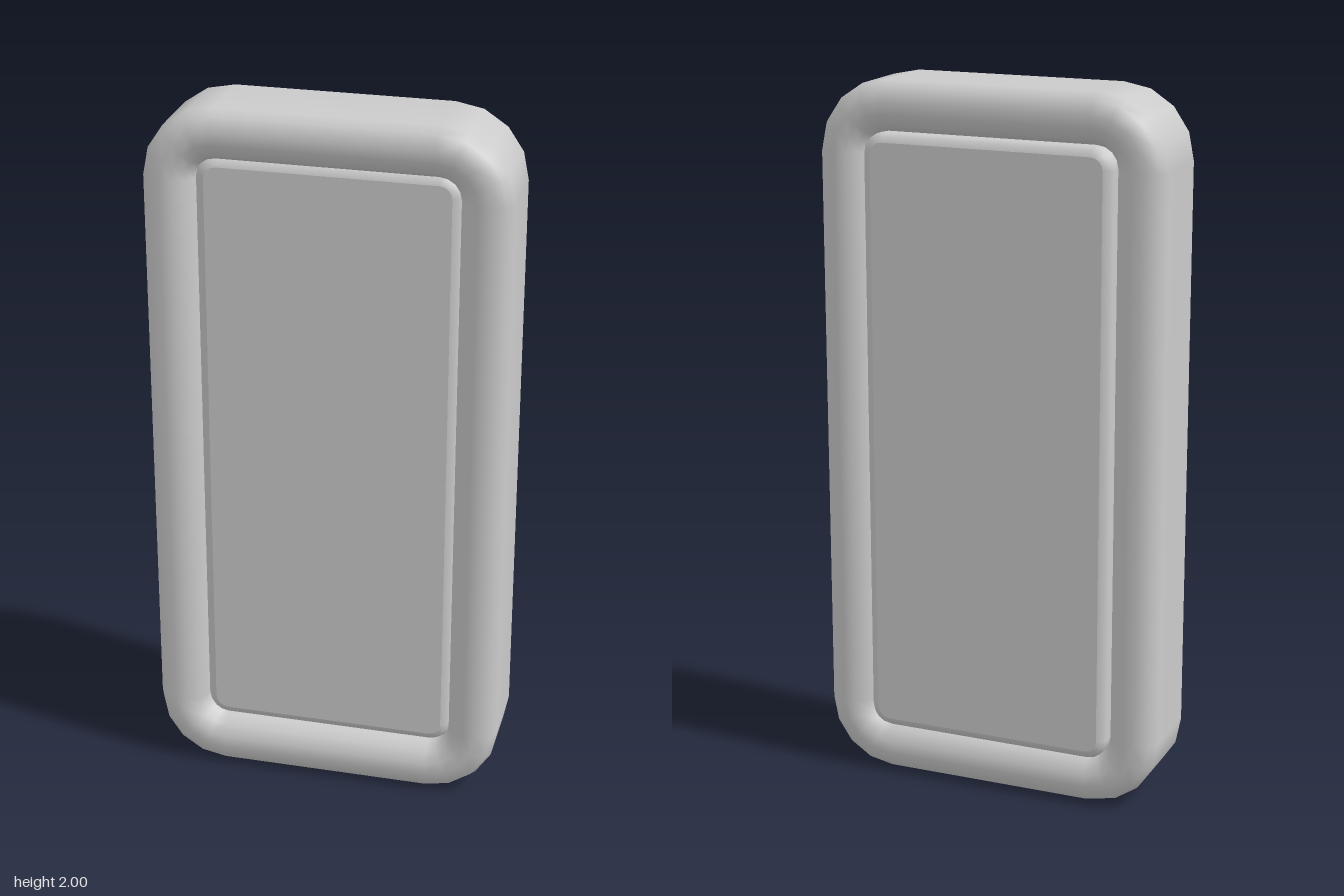
import * as THREE from 'three';

const HALF_W = 0.5, HALF_H = 1, CORNER = 0.2, STEPS = 4;

// Rounded rectangle pushed inwards by inset, counter-clockwise seen from +z;
// each entry is [x, y, outward x, outward y]
function ring(inset) {
  const points = [];
  [[1, 1], [-1, 1], [-1, -1], [1, -1]].forEach(([sx, sy], corner) => {
    for (let i = 0; i <= STEPS; i++) {
      const a = (corner + i / STEPS) * Math.PI / 2;
      const c = Math.cos(a), s = Math.sin(a), r = CORNER - inset;
      points.push([sx * (HALF_W - CORNER) + r * c, sy * (HALF_H - CORNER) + r * s, c, s]);
    }
  });
  return points;
}

// Smooth skin over a profile of [inset, z] pairs, running from back to front
function loft(profile) {
  const slopes = profile.slice(1).map(([inset, z], i) =>
    new THREE.Vector2(z - profile[i][1], inset - profile[i][0]).normalize());
  const n = 4 * (STEPS + 1), position = [], normal = [], index = [];
  profile.forEach(([inset, z], i) => {
    const before = slopes[Math.max(i - 1, 0)], after = slopes[Math.min(i, slopes.length - 1)];
    const slope = before.clone().add(after).normalize();
    ring(inset).forEach(([x, y, c, s], j) => {
      position.push(x, y, z);
      normal.push(c * slope.x, s * slope.x, slope.y);
      if (i === slopes.length) return;
      const a = i * n + j, b = i * n + (j + 1) % n;
      index.push(a, b, b + n, a, b + n, a + n);
    });
  });
  const geometry = new THREE.BufferGeometry();
  geometry.setAttribute('position', new THREE.Float32BufferAttribute(position, 3));
  geometry.setAttribute('normal', new THREE.Float32BufferAttribute(normal, 3));
  geometry.setIndex(index);
  return geometry;
}

export function createModel() {
  const model = new THREE.Group();
  model.name = 'framedBlock';
  const material = new THREE.MeshStandardMaterial({ color: 0xcccccc });

  const add = (name, geometry) => {
    const mesh = new THREE.Mesh(geometry, material);
    mesh.name = name;
    mesh.position.y = HALF_H;
    model.add(mesh);
    return mesh;
  };

  // Rounded frame: outer wall, rolled rim and inner wall
  const half = [[0, 0.1], [0.015, 0.135], [0.057, 0.15], [0.09, 0.146],
    [0.122, 0.129], [0.14, 0.1], [0.14, 0.06]];
  const mirrored = half.map(([inset, z]) => [inset, -z]).reverse();
  add('frame', loft([...mirrored, ...half]));

  // Panel block with soft edges, set back at the front and flush at the back
  const front = 0.1, back = -0.15, bevel = 0.165;
  const edge = [[0.14, 0.02], [0.148, 0.006], [bevel, 0]];
  add('panelEdge', loft([
    ...edge.map(([inset, drop]) => [inset, back + drop]).reverse(),
    ...edge.map(([inset, drop]) => [inset, front - drop])]));

  // Flat faces of the panel
  const outline = ring(bevel).map(([x, y]) => new THREE.Vector2(x, y));
  const face = new THREE.ShapeGeometry(new THREE.Shape(outline));
  add('panelFront', face).position.z = front;
  const rear = add('panelBack', face);
  rear.position.z = back;
  rear.rotation.y = Math.PI;
  return model;
}
